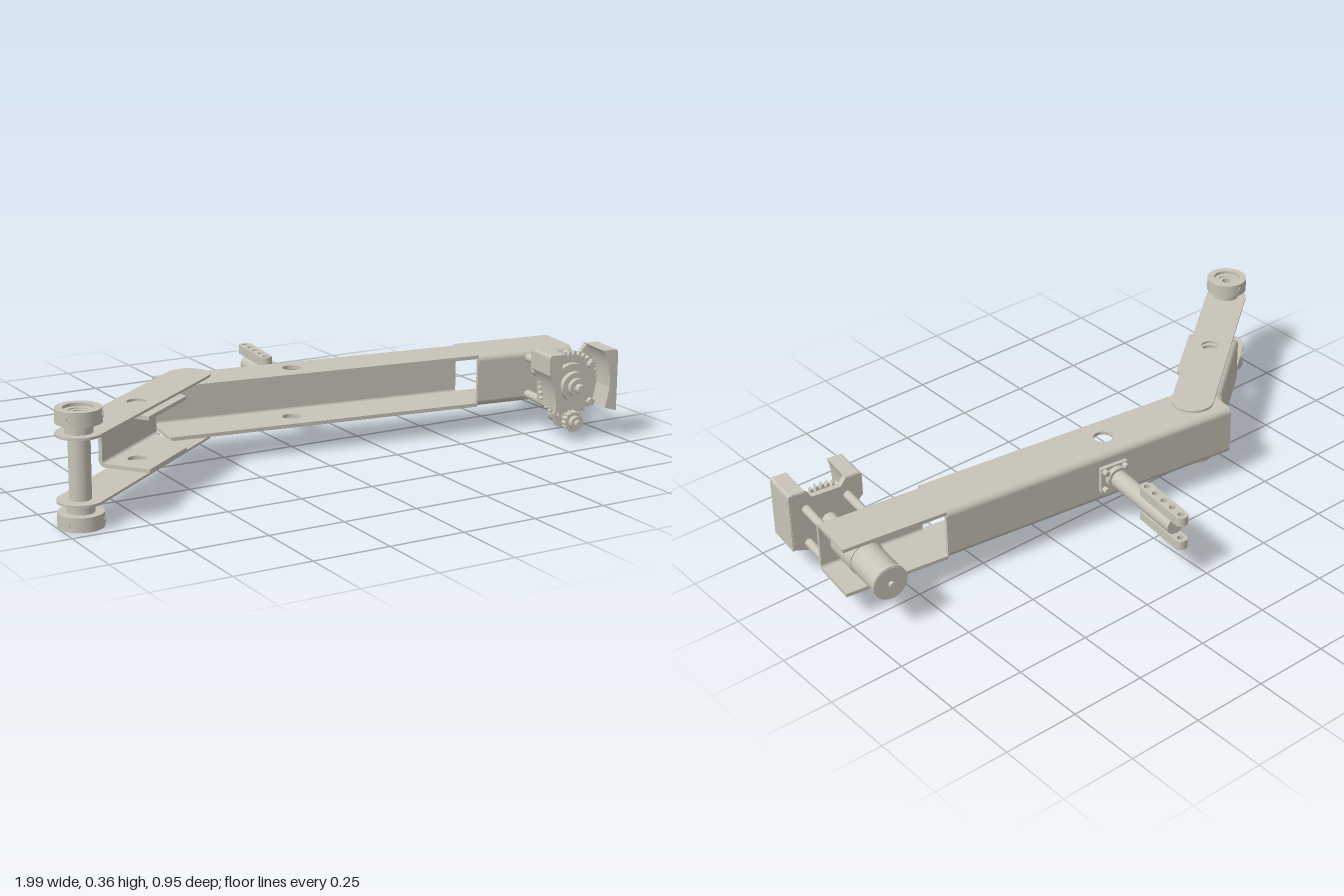
import * as THREE from 'three';

const metal = new THREE.MeshStandardMaterial({ color: 0xc8c4b8 });
metal.name = 'warm grey metal';

function add(parent, name, geometry, x = 0, y = 0, z = 0) {
  const mesh = new THREE.Mesh(geometry, metal);
  mesh.name = name;
  mesh.position.set(x, y, z);
  parent.add(mesh);
  return mesh;
}
const extrude = (shape, depth) =>
  new THREE.ExtrudeGeometry(shape, { depth, bevelEnabled: false, curveSegments: 20 });
const polygon = (pts) => new THREE.Shape(pts.map((p) => new THREE.Vector2(...p)));
function hole(shape, x, y, r) {
  shape.holes.push(new THREE.Path().absarc(x, y, r, 0, Math.PI * 2, true));
  return shape;
}
// Horizontal sheet: shape is drawn in (x, z), top face at the given height
const sheet = (shape, thickness) => extrude(shape, thickness).rotateX(Math.PI / 2);
const rodY = (r, h) => new THREE.CylinderGeometry(r, r, h, 32);
const rodZ = (r, h) => rodY(r, h).rotateX(Math.PI / 2);
function slot(x0, x1, r) {
  const s = new THREE.Shape();
  s.absarc(x1, 0, r, -Math.PI / 2, Math.PI / 2, false);
  s.absarc(x0, 0, r, Math.PI / 2, Math.PI * 1.5, false);
  return s;
}
function gear(r, teeth, depth, bore) {
  const pts = [];
  for (let i = 0; i < teeth * 4; i++) {
    const a = (i / (teeth * 4)) * Math.PI * 2;
    const q = i % 4 < 2 ? r : r * 0.88;
    pts.push([Math.cos(a) * q, Math.sin(a) * q]);
  }
  return extrude(hole(polygon(pts), 0, 0, bore), depth);
}

const LOW = 0.096, HIGH = 0.272, T = 0.012, R = 0.022, MID = 0.184;

// Upright wall of a folded channel with its two rounded bends
function foldedWall(length) {
  const s = new THREE.Shape();
  s.moveTo(R, HIGH);
  s.absarc(R, HIGH - R, R, Math.PI / 2, Math.PI, false);
  s.absarc(R, LOW + R, R, Math.PI, Math.PI * 1.5, false);
  s.lineTo(R, LOW + T);
  s.absarc(R, LOW + R, R - T, Math.PI * 1.5, Math.PI, true);
  s.absarc(R, HIGH - R, R - T, Math.PI, Math.PI / 2, true);
  s.closePath();
  return extrude(s, length);
}
const backWall = (parent, name, x0, x1, z) =>
  add(parent, name, foldedWall(x1 - x0).rotateY(-Math.PI / 2), x1, 0, z);
const frontWall = (parent, name, x0, x1, z) =>
  add(parent, name, foldedWall(x1 - x0).rotateY(Math.PI / 2), x0, 0, z);

function buildBeam() {
  const g = new THREE.Group();
  g.name = 'mainBeam';
  g.rotation.y = -0.1228;
  const x0 = -0.447, x1 = 0.99, cut = 0.635, zb = -0.09, zf = 0.085;
  backWall(g, 'beamBackWall', x0, cut, zb);
  frontWall(g, 'motorMountWall', cut, x1, zf);
  for (const y of [HIGH, LOW + T]) {
    const s = polygon([[x0, zb + R], [cut, zb + R], [cut, zb], [x1, zb],
      [x1, zf - R], [cut, zf - R], [cut, zf], [x0, zf]]);
    add(g, 'beamFlange', sheet(hole(s, 0, 0, 0.031), T), 0, y, 0);
  }
  g.add(buildMotor(), buildGripper(), buildRearRod());
  return g;
}

function buildMotor() {
  const g = new THREE.Group();
  g.name = 'motor';
  g.position.set(0.897, MID, 0);
  add(g, 'motorCan', rodZ(0.055, 0.15), 0, 0, -0.133);
  add(g, 'motorRim', rodZ(0.058, 0.012), 0, 0, -0.2);
  add(g, 'gearbox', rodZ(0.058, 0.13), 0, 0, 0.006);
  add(g, 'rearPin', rodZ(0.01, 0.012), 0, 0, -0.216);
  add(g, 'driveShaft', rodZ(0.012, 0.2), 0, 0, 0.17);
  add(g, 'shaftCoupling', rodZ(0.026, 0.05), 0, 0, 0.165);
  return g;
}

function buildGripper() {
  const g = new THREE.Group();
  g.name = 'gearHead';
  g.position.set(0.897, MID, 0);
  // Back plate tapering down to the small motor
  const plate = polygon([[-0.125, 0.125], [-0.07, 0.125], [-0.05, 0.1], [0.05, 0.1], [0.07, 0.125],
    [0.125, 0.125], [0.125, -0.075], [0.045, -0.1], [0.032, -0.145], [0, -0.155],
    [-0.032, -0.145], [-0.045, -0.1], [-0.1, -0.06], [-0.1, 0.02], [-0.125, 0.045]]);
  add(g, 'headPlate', extrude(hole(plate, 0, 0, 0.02), 0.02), 0, 0, 0.197);
  // Side jaws with hollowed inner faces
  const left = new THREE.Shape();
  left.moveTo(0.127, -0.08);
  left.lineTo(0.127, 0.115);
  left.quadraticCurveTo(0.127, 0.127, 0.115, 0.127);
  left.lineTo(0.07, 0.127);
  left.quadraticCurveTo(0.1, 0.09, 0.1, 0);
  left.lineTo(0.085, -0.068);
  left.closePath();
  add(g, 'leftJaw', extrude(left, 0.125), 0, 0, 0.2);
  const right = new THREE.Shape();
  right.moveTo(-0.07, 0.127);
  right.lineTo(-0.115, 0.127);
  right.quadraticCurveTo(-0.127, 0.127, -0.127, 0.115);
  right.lineTo(-0.127, 0.06);
  right.quadraticCurveTo(-0.1, 0.02, -0.1, -0.06);
  right.lineTo(-0.08, -0.06);
  right.quadraticCurveTo(-0.09, 0.08, -0.07, 0.127);
  add(g, 'rightJaw', extrude(right, 0.125), 0, 0, 0.2);
  // Gear train
  add(g, 'largeGear', gear(0.113, 36, 0.018, 0.03), 0, 0, 0.222);
  add(g, 'gearDisc', rodZ(0.075, 0.02), 0, 0, 0.25);
  add(g, 'gearHub', rodZ(0.05, 0.025), 0, 0, 0.268);
  add(g, 'gearBoss', rodZ(0.032, 0.02), 0, 0, 0.287);
  add(g, 'shaftEnd', rodZ(0.016, 0.04), 0, 0, 0.3);
  add(g, 'smallGear', gear(0.036, 14, 0.025, 0.012), 0, -0.12, 0.25);
  add(g, 'smallGearCollar', rodZ(0.022, 0.02), 0, -0.12, 0.285);
  add(g, 'smallShaft', rodZ(0.012, 0.19), 0, -0.12, 0.215);
  add(g, 'smallMotor', rodZ(0.028, 0.052), 0, -0.12, 0.171);
  // Standoffs and bolts
  for (const sx of [-1, 1]) {
    for (const sy of [-1, 1]) {
      add(g, 'standoff', rodZ(0.014, 0.125), sx * 0.072, sy * 0.063, 0.142);
      add(g, 'bolt', rodZ(0.012, 0.03), sx * 0.072, sy * 0.063, 0.245);
    }
  }
  return g;
}

function buildRearRod() {
  const g = new THREE.Group();
  g.name = 'rearRod';
  g.position.set(0.02, MID, 0);
  add(g, 'rodBase', new THREE.BoxGeometry(0.1, 0.09, 0.014), 0.005, 0, -0.097);
  add(g, 'rodClamp', rodZ(0.04, 0.025), 0, 0, -0.11);
  for (const sx of [-1, 1]) {
    for (const sy of [-1, 1]) add(g, 'baseBolt', rodZ(0.01, 0.03), 0.005 + sx * 0.038, sy * 0.033, -0.108);
  }
  add(g, 'rod', rodZ(0.03, 0.34), 0, 0, -0.265);
  // Perforated bars above and below the rod
  for (const top of [0.06, -0.028]) {
    const s = slot(0.28, 0.464, 0.022);
    for (let i = 0; i < 5; i++) hole(s, 0.464 - i * 0.046, 0, 0.011);
    const bar = add(g, 'perforatedBar', sheet(s, 0.031), 0, top, 0);
    bar.rotation.y = Math.PI / 2;
  }
  return g;
}

function buildArm() {
  const g = new THREE.Group();
  g.name = 'arm';
  g.position.set(-0.642, 0, 0.182);
  g.rotation.y = 0.6587;
  for (const y of [0.288, 0.088]) {
    add(g, 'armPlate', sheet(hole(slot(-0.363, 0.363, 0.07), 0, 0, 0.03), 0.008), 0, y, 0);
  }
  // Short channel between the plates, with a mitred inner end
  backWall(g, 'armBackWall', -0.09, 0.277, -0.085);
  for (const y of [HIGH, LOW + T]) {
    const s = polygon([[-0.09, -0.085 + R], [0.264, -0.085 + R], [0.165, 0.087], [-0.09, 0.087]]);
    add(g, 'armFlange', sheet(hole(s, 0, 0, 0.03), T), 0, y, 0);
  }
  // Spindle and its collars
  const ring = (ro, ri, h) => sheet(hole(slot(0, 0, ro), 0, 0, ri), h);
  add(g, 'spindle', ring(0.033, 0.016, 0.33), -0.363, 0.349, 0);
  for (const s of [-1, 1]) {
    add(g, 'collar', ring(0.069, 0.046, 0.044), -0.363, MID + s * 0.156 + 0.022, 0);
    add(g, 'collarInner', ring(0.047, 0.03, 0.034), -0.363, MID + s * 0.151 + 0.017, 0);
    add(g, 'collarSpacer', ring(0.042, 0.03, 0.032), -0.363, MID + s * 0.119 + 0.016, 0);
    for (const a of [0, 1, 2]) {
      const t = a * Math.PI * 2 / 3 + 2.5;
      const screw = add(g, 'setScrew', rodZ(0.009, 0.008),
        -0.363 + Math.sin(t) * 0.067, MID + s * 0.156, Math.cos(t) * 0.067);
      screw.rotation.y = t;
    }
  }
  return g;
}

export function createModel() {
  const model = new THREE.Group();
  model.name = 'jointedArm';
  model.add(buildBeam(), buildArm());
  return model;
}
